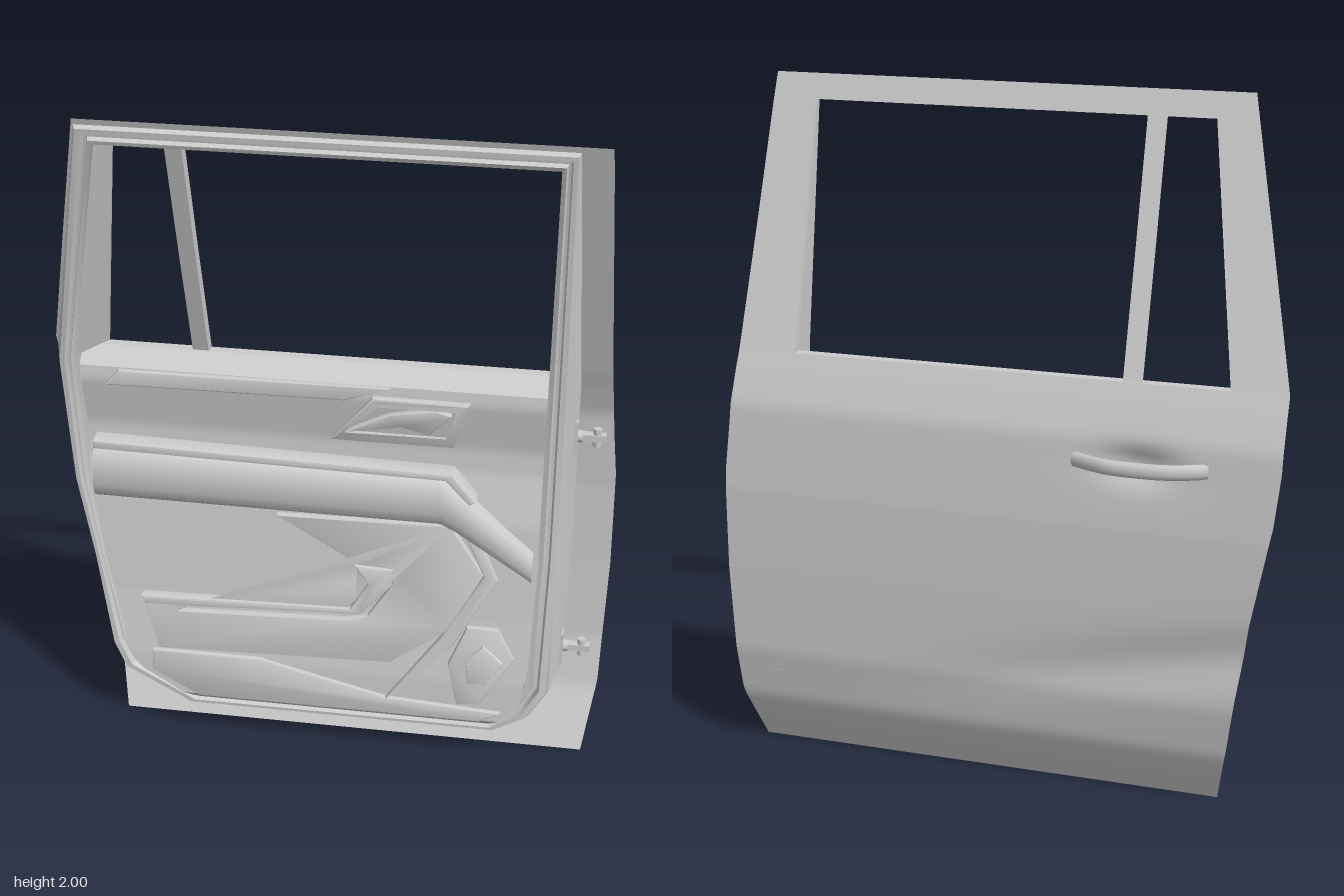
import * as THREE from 'three';
import { toCreasedNormals } from 'three/addons/utils/BufferGeometryUtils.js';

const material = new THREE.MeshStandardMaterial({ color: 0xcccccc, side: THREE.DoubleSide });

// Piecewise linear lookup in rows [y, a, b, ...]
function at(rows, y, k = 1) {
  let i = 0;
  while (i < rows.length - 2 && y > rows[i + 1][0]) i++;
  const [p, q] = [rows[i], rows[i + 1]];
  const t = THREE.MathUtils.clamp((y - p[0]) / (q[0] - p[0]), 0, 1);
  return p[k] + (q[k] - p[k]) * t;
}

// Depth profiles, y then z
const skinRows = [[0, -0.02], [0.1, -0.07], [0.18, -0.108], [0.34, -0.14], [0.6, -0.15], [0.85, -0.155],
  [1.1, -0.138], [1.2, -0.105], [1.25, -0.085], [1.6, 0.035], [2, 0.165]];
const rimRows = [[0.11, 0.075], [0.3, 0.06], [0.6, 0.04], [1, 0.022], [1.22, 0.025], [1.3, 0.04], [2, 0.188]];
const trimRows = [[0.14, 0.07], [0.17, 0.1], [0.3, 0.09], [0.5, 0.055], [0.8, 0.022], [0.95, -0.015],
  [1.02, -0.02], [1.17, 0.005], [1.21, 0], [1.25, -0.055]];
const skinZ = y => at(skinRows, y);
const rimZ = y => at(rimRows, y);
const trimZ = y => at(trimRows, y);

// Outer panel shape: a dish behind the pull and a slanted scoop that deepens to the rear
function panelZ(x, y) {
  const dish = 0.03 * Math.exp(-(((x + 0.41) / 0.1) ** 2) - ((y - 1.03) / 0.045) ** 2);
  const fade = 1 - THREE.MathUtils.smoothstep(x, -0.6, 0.5);
  return skinZ(y) + dish + 0.018 * fade * Math.exp(-(((y - 0.36 + 0.2 * x) / 0.08) ** 2));
}

function add(parent, name, geometry) {
  const mesh = new THREE.Mesh(geometry, material);
  mesh.name = name;
  parent.add(mesh);
  return mesh;
}

// Grid of points from rows of [x, y, z]; closed joins the last column to the first
function loft(loops, closed, crease = 0.5) {
  const n = loops[0].length, index = [];
  for (let j = 0; j < loops.length - 1; j++)
    for (let i = 0; i < (closed ? n : n - 1); i++) {
      const a = j * n + i, b = j * n + (i + 1) % n;
      index.push(a, b, b + n, a, b + n, a + n);
    }
  const g = new THREE.BufferGeometry();
  g.setAttribute('position', new THREE.Float32BufferAttribute(loops.flat(2), 3));
  g.setIndex(index);
  g.computeVertexNormals();
  return toCreasedNormals(g, crease);
}

// Sheet between left and right limits [y, xLeft, xRight]
function sheet(rows, z, nx, ny) {
  const y0 = rows[0][0], y1 = rows[rows.length - 1][0];
  const ys = Array.from({ length: ny + 1 }, (_, j) => y0 + (y1 - y0) * j / ny);
  return loft(ys.map(y => Array.from({ length: nx + 1 }, (_, i) => {
    const x = THREE.MathUtils.lerp(at(rows, y, 1), at(rows, y, 2), i / nx);
    return [x, y, z(x, y)];
  })), false, 0.6);
}

// Bevelled plate that leans with the trim surface
function plate(points, depth, offset, holes = [], bevel = 0.006) {
  const toShape = p => p.map(([x, y]) => new THREE.Vector2(x, y));
  const shape = new THREE.Shape(toShape(points));
  shape.holes = holes.map(h => new THREE.Path(toShape(h)));
  const g = new THREE.ExtrudeGeometry(shape, {
    depth, bevelEnabled: true, bevelThickness: bevel, bevelSize: bevel, bevelOffset: -bevel, bevelSegments: 2,
  });
  const p = g.attributes.position;
  for (let i = 0; i < p.count; i++) p.setZ(i, p.getZ(i) + offset + trimZ(p.getY(i)));
  return toCreasedNormals(g, 0.6);
}

export function createModel() {
  const door = new THREE.Group();
  door.name = 'door';

  // Outer skin: lower panel, two pillars and header
  const skin = new THREE.Group();
  skin.name = 'outerSkin';
  door.add(skin);
  add(skin, 'lowerPanel', sheet([[0.005, -0.64, 0.76], [0.2, -0.675, 0.795], [0.6, -0.73, 0.805], [0.9, -0.785, 0.8],
    [1.05, -0.8, 0.785], [1.25, -0.803, 0.77]], panelZ, 60, 60));
  add(skin, 'rearPillar', sheet([[1.25, -0.803, -0.645], [1.93, -0.655, -0.54]], (x, y) => skinZ(y), 2, 12));
  add(skin, 'frontPillar', sheet([[1.25, 0.6, 0.77], [1.93, 0.61, 0.733]], (x, y) => skinZ(y), 2, 12));
  add(skin, 'header', sheet([[1.93, -0.655, 0.733], [2, -0.64, 0.728]], (x, y) => skinZ(y), 2, 2));

  // Inner body ring: flared side wall, sealing bead and rim around door and window
  const outer = [[-0.635, 1.985], [-0.77, 1.22], [-0.745, 0.85], [-0.698, 0.6], [-0.655, 0.3], [-0.62, 0.22],
    [-0.42, 0.115], [0.5, 0.115], [0.6, 0.17], [0.655, 0.26], [0.66, 0.7], [0.655, 1.22], [0.65, 1.985]];
  const inner = [[-0.585, 1.935], [-0.715, 1.25], [-0.7, 0.85], [-0.66, 0.6], [-0.6, 0.33], [-0.56, 0.25],
    [-0.38, 0.15], [0.47, 0.15], [0.545, 0.2], [0.585, 0.28], [0.6, 0.7], [0.6, 1.25], [0.605, 1.935]];
  const ring = (t, z) => outer.map(([x, y], i) => {
    const py = THREE.MathUtils.lerp(y, inner[i][1], t);
    return [THREE.MathUtils.lerp(x, inner[i][0], t), py, z(py)];
  });
  const flare = ([x, y, z]) => [Math.abs(x) > 0.65 ? x + 0.03 * Math.sign(x) : x, y, z];
  const section = [[0, -0.02], [0.12, -0.002], [0.4, 0], [0.5, -0.018], [0.65, -0.018], [0.75, 0], [1, -0.005]];
  add(door, 'bodyRing', loft([ring(0, y => skinZ(y) + 0.006).map(flare),
    ...section.map(([t, dz]) => ring(t, y => rimZ(y) + dz)),
    ring(1, y => Math.max(rimZ(y) - 0.09, skinZ(y) + 0.006))], true));

  // Window reveal joins the rim to the skin opening; the belt closes the slot below it
  const revealIn = [[-0.715, 1.25], [-0.585, 1.935], [0.605, 1.935], [0.6, 1.25]];
  const revealOut = [[-0.645, 1.25], [-0.54, 1.93], [0.61, 1.93], [0.6, 1.25]];
  add(door, 'windowReveal', loft([revealIn.map(([x, y]) => [x, y, rimZ(y) - 0.005]),
    revealOut.map(([x, y]) => [x, y, skinZ(y)])], false));
  add(door, 'beltStrip', loft([[[-0.715, 1.25, trimZ(1.25)], [0.6, 1.25, trimZ(1.25)]],
    [[-0.645, 1.25, skinZ(1.25)], [0.6, 1.25, skinZ(1.25)]]], false));

  // Window divider post
  const post = y => [[-0.405, y, skinZ(y) + 0.005], [-0.35, y, skinZ(y) + 0.005],
    [-0.355, y, skinZ(y) + 0.025], [-0.4, y, skinZ(y) + 0.025]];
  add(door, 'dividerPost', loft([1.24, 1.6, 1.94].map(post), true));

  // Interior trim
  const trim = new THREE.Group();
  trim.name = 'interiorTrim';
  door.add(trim);
  add(trim, 'trimPanel', sheet([[0.145, -0.39, 0.48], [0.2, -0.475, 0.545], [0.25, -0.56, 0.57], [0.33, -0.6, 0.59],
    [0.6, -0.66, 0.6], [0.85, -0.7, 0.605], [1.25, -0.715, 0.6]], (x, y) => trimZ(y), 24, 80));
  add(trim, 'upperLedge', plate([[-0.64, 1.16], [-0.6, 1.205], [0.17, 1.21], [0.04, 1.165]], 0.012, -0.002));

  // Rounded armrest, bending down at its leading end: stations [x, top, bottom, depth]
  const bulge = [[0, -0.04], [0, 0.035], [0.08, 0.05], [0.3, 0.062], [0.65, 0.064], [0.88, 0.052], [1, 0.025], [1, -0.04]];
  const stations = [[-0.69, 0.955, 0.8, 0], [-0.68, 0.96, 0.8, 1], [0.32, 0.945, 0.795, 1], [0.37, 0.91, 0.77, 1],
    [0.585, 0.73, 0.625, 0.9], [0.595, 0.72, 0.63, 0]];
  add(trim, 'armrest', loft(stations.map(([x, top, bottom, d]) =>
    bulge.map(([t, z]) => [x, THREE.MathUtils.lerp(top, bottom, t), z > 0 ? z * d : z])), true, 0.7));
  add(trim, 'armrestLip', plate([[-0.68, 0.985], [0.35, 0.965], [0.42, 0.89], [0.4, 0.88], [0.33, 0.945], [-0.68, 0.96]],
    0.06, -0.01));

  // Map pocket, its raised edge and the lower mouldings
  add(trim, 'mapPocket', plate([[-0.55, 0.49], [-0.5, 0.33], [0.19, 0.35], [0.36, 0.47], [0.45, 0.65], [0.35, 0.8],
    [-0.15, 0.79], [0.08, 0.66], [0.08, 0.5]], 0.018, -0.006,
  [[[-0.44, 0.455], [0.06, 0.475], [0.12, 0.49], [0.19, 0.6], [0.19, 0.65], [0.1, 0.65], [0.1, 0.61], [0.12, 0.58],
    [0.05, 0.495], [-0.41, 0.47]].reverse()]));
  add(trim, 'pocketEdge', plate([[-0.55, 0.5], [-0.54, 0.475], [0.1, 0.5], [0.19, 0.6], [0.19, 0.65], [0.08, 0.655],
    [0.12, 0.6], [0.07, 0.515]], 0.03, -0.006));
  add(trim, 'lowerFin', plate([[0.18, 0.23], [0.34, 0.45], [0.45, 0.65], [0.38, 0.8], [0.42, 0.79], [0.49, 0.64],
    [0.37, 0.42]], 0.022, -0.006));
  add(trim, 'speakerCover', plate([[0.39, 0.23], [0.36, 0.36], [0.41, 0.48], [0.5, 0.48], [0.55, 0.39], [0.46, 0.24]],
    0.014, -0.004));
  add(trim, 'speakerCentre', plate([[0.42, 0.31], [0.41, 0.38], [0.46, 0.43], [0.52, 0.38], [0.47, 0.31]], 0.024, -0.004));
  add(trim, 'lowerSill', plate([[-0.52, 0.25], [-0.38, 0.175], [0.46, 0.175], [0.52, 0.21], [0.18, 0.23], [-0.2, 0.32],
    [-0.52, 0.32]], 0.01, -0.003));

  // Inside release: bezel with an angled lever
  add(trim, 'releaseBezel', plate([[0, 1.03], [0.12, 1.18], [0.39, 1.18], [0.35, 1.03]], 0.018, -0.004,
    [[[0.03, 1.055], [0.33, 1.055], [0.36, 1.16], [0.13, 1.16]].reverse()]));
  add(trim, 'releaseLever', plate([[0.04, 1.06], [0.17, 1.13], [0.3, 1.155], [0.34, 1.14], [0.28, 1.07], [0.2, 1.09]],
    0.016, 0));

  // Outside pull
  const grip = new THREE.CatmullRomCurve3([[-0.6, -0.135], [-0.55, -0.158], [-0.48, -0.177], [-0.34, -0.177],
    [-0.28, -0.158], [-0.23, -0.135]].map(([x, z]) => new THREE.Vector3(x, 0, z)));
  const pull = add(door, 'outsidePull', new THREE.TubeGeometry(grip, 24, 0.013, 10));
  pull.scale.y = 1.7;
  pull.position.y = 1.035;

  // Hinges on the leading edge
  for (const [name, y] of [['upperHinge', 1.045], ['lowerHinge', 0.33]]) {
    const hinge = new THREE.Group();
    hinge.name = name;
    hinge.position.set(0.675, y, -0.1);
    door.add(hinge);
    add(hinge, 'hingePlate', new THREE.BoxGeometry(0.02, 0.11, 0.055)).position.x = 0;
    add(hinge, 'hingeArm', new THREE.BoxGeometry(0.09, 0.02, 0.025)).position.x = 0.045;
    add(hinge, 'hingePin', new THREE.CylinderGeometry(0.012, 0.012, 0.055, 12)).position.x = 0.065;
    const bolt = add(hinge, 'hingeBolt', new THREE.CylinderGeometry(0.018, 0.018, 0.014, 12));
    bolt.rotation.z = Math.PI / 2;
    bolt.position.x = 0.018;
  }
  return door;
}
